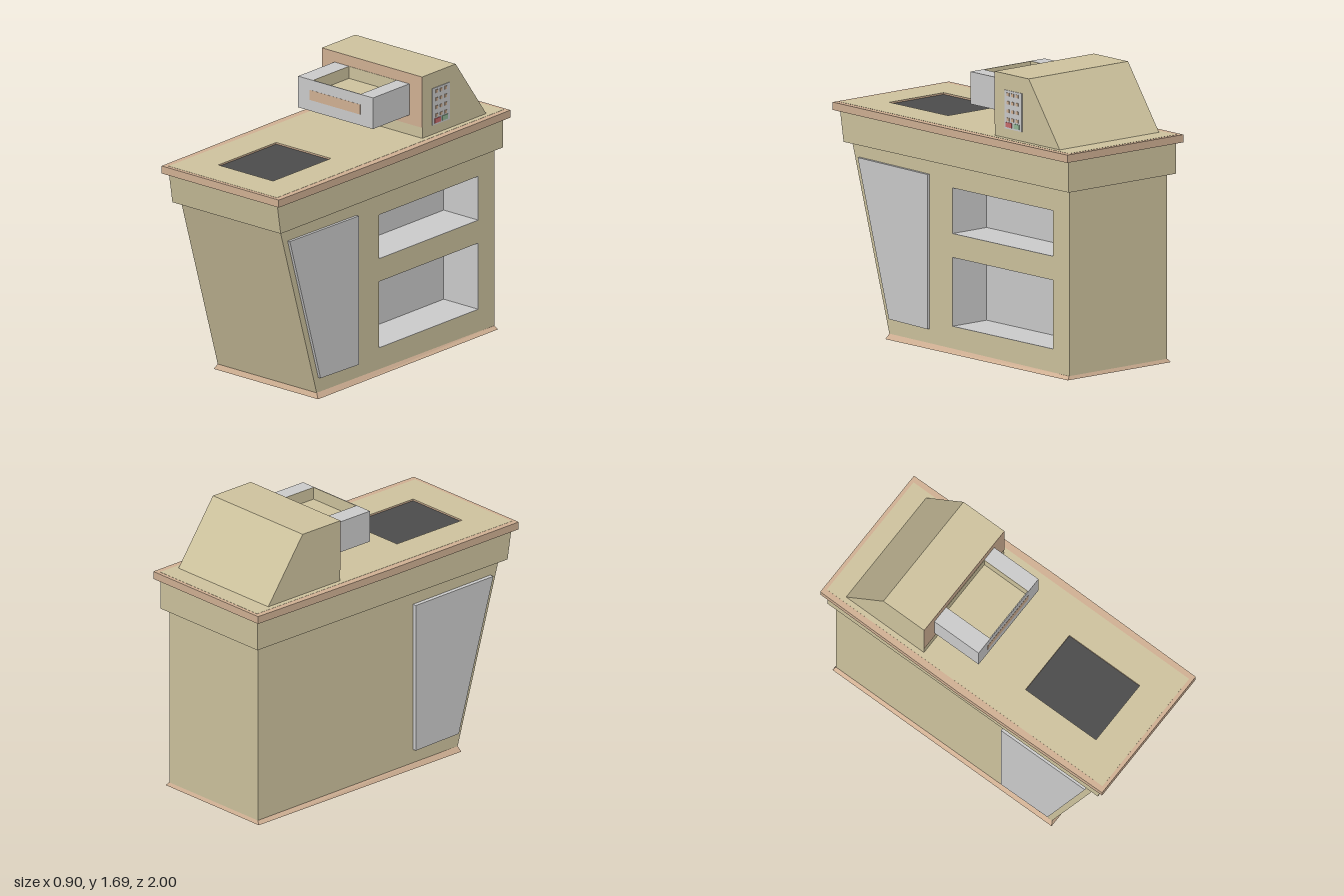
import * as THREE from 'three';

const mat = (color) => new THREE.MeshStandardMaterial({ color, flatShading: true });
const TAN = mat(0xcec39e), TRIM = mat(0xd1b194), GREY = mat(0xcccccc), DARK = mat(0x4c4c4c);
const RED = mat(0xc86a6a), GREEN = mat(0x93b898);

export function createModel() {
  const model = new THREE.Group();

  const add = (name, geometry, material, parent = model) => {
    const mesh = new THREE.Mesh(geometry, material);
    mesh.name = name;
    parent.add(mesh);
  };

  // Box given by its minimum and maximum on each axis
  const box = (name, [x0, x1], [y0, y1], [z0, z1], material, parent = model) =>
    add(name, new THREE.BoxGeometry(x1 - x0, y1 - y0, z1 - z0)
      .translate((x0 + x1) / 2, (y0 + y1) / 2, (z0 + z1) / 2), material, parent);

  // Outlines run counter-clockwise and holes clockwise, so all walls face outwards
  const outline = (points, clockwise) => {
    const path = points.map(([a, b]) => new THREE.Vector2(-a, b));
    return THREE.ShapeUtils.isClockWise(path) === clockwise ? path : path.reverse();
  };
  const rect = (a0, a1, b0, b1) => [[a0, b0], [a1, b0], [a1, b1], [a0, b1]];
  const extrude = (points, holes, depth) => {
    const shape = new THREE.Shape(outline(points, false));
    holes.forEach((h) => shape.holes.push(new THREE.Path(outline(h, true))));
    return new THREE.ExtrudeGeometry(shape, { depth, bevelEnabled: false });
  };

  // Side profile in (z, y) drawn out from x0 to x1
  const profile = (name, points, [x0, x1], material, holes = [], parent = model) =>
    add(name, extrude(points, holes, x1 - x0).rotateY(Math.PI / 2).translate(x0, 0, 0), material, parent);

  // Plan in (-x, -z) drawn up from y0 to y1
  const slab = (name, points, [y0, y1], material, holes) =>
    add(name, extrude(points, holes, y1 - y0).rotateX(-Math.PI / 2).translate(0, y0, 0), material);

  // Cabinet: solid core, and an outer layer pierced by the two shelf openings
  const cabinet = [[0.594, 0.032], [0.91, 1.09], [-0.94, 1.09], [-0.94, 0.021]];
  const shelves = [[0.155, 0.556], [0.69, 0.957]];
  const inner = 0.11, side = 0.37;
  profile('cabinetCore', cabinet, [-side, inner], TAN);
  profile('cabinetShelfSide', cabinet, [inner, side], TAN,
    shelves.map(([y0, y1]) => rect(-0.803, 0.057, y0, y1)));

  // Grey lining of each shelf opening
  const t = 0.002;
  shelves.forEach(([y0, y1]) => {
    const shelf = new THREE.Group();
    shelf.name = 'shelf';
    model.add(shelf);
    profile('shelfLining', rect(-0.803, 0.057, y0, y1), [inner, side], GREY,
      [rect(-0.803 + t, 0.057 - t, y0 + t, y1 - t)], shelf);
    box('shelfBack', [inner, inner + t], [y0, y1], [-0.803, 0.057], GREY, shelf);
  });

  // Tapered panel on both sides
  const panel = [[0.25, 0.112], [0.58, 0.12], [0.845, 1.012], [0.25, 1.005]];
  profile('leftSidePanel', panel, [side, 0.387], GREY);
  profile('rightSidePanel', panel, [-0.395, -side], GREY);

  // Flared skirting: a box whose lower corners are pushed outwards
  const skirt = new THREE.BoxGeometry(2 * side, 1, 1);
  const p = skirt.attributes.position;
  for (let i = 0; i < p.count; i++) {
    const front = p.getZ(i) > 0;
    if (p.getY(i) < 0) p.setXYZ(i, Math.sign(p.getX(i)) * 0.39, 0.001, front ? 0.605 : -0.95);
    else p.setXYZ(i, p.getX(i), front ? 0.032 : 0.021, front ? 0.594 : -0.94);
  }
  skirt.computeVertexNormals();
  add('skirting', skirt, TRIM);
  box('underside', [-0.386, 0.386], [0, 0.002], [-0.947, 0.602], TAN);

  // Upper band, and a slightly bowed worktop with a sunken plate
  profile('upperBand', [[0.945, 1.09], [0.975, 1.27], [-0.975, 1.27], [-0.975, 1.09]], [-0.405, 0.405], TAN);
  const opening = [rect(-0.205, 0.205, -0.78, -0.28)];
  const worktop = [[-0.438, -1], [0.438, -1], [0.448, 0], [0.438, 1], [-0.438, 1], [-0.448, 0]];
  slab('worktopEdge', worktop, [1.27, 1.315], TRIM, opening);
  slab('worktopSurface', rect(-0.405, 0.405, -0.978, 0.978), [1.315, 1.316], TAN, opening);
  box('scannerPlate', [-0.205, 0.205], [1.27, 1.306], [0.28, 0.78], DARK);

  // Cash register
  const register = new THREE.Group();
  register.name = 'cashRegister';
  model.add(register);
  profile('registerBody', [[-0.312, 1.315], [-0.312, 1.685], [-0.6, 1.685], [-0.865, 1.315]],
    [-0.375, 0.375], TAN, [], register);
  box('registerFront', [-0.375, 0.375], [1.38, 1.685], [-0.312, -0.31], TRIM, register);

  // Open drawer with a shallow tan tray between two grey blocks
  const drawer = new THREE.Group();
  drawer.name = 'drawer';
  register.add(drawer);
  const depth = [-0.31, 0], wall = [1.54, 1.622];
  box('drawerBottom', [-0.28, 0.28], [1.435, 1.54], depth, GREY, drawer);
  box('drawerTray', [-0.17, 0.185], [1.54, 1.55], depth, TAN, drawer);
  box('drawerRightBlock', [-0.28, -0.172], wall, depth, GREY, drawer);
  box('drawerLeftBlock', [0.187, 0.28], wall, depth, GREY, drawer);
  box('trayRightWall', [-0.172, -0.17], wall, depth, TAN, drawer);
  box('trayLeftWall', [0.185, 0.187], wall, depth, TAN, drawer);
  box('trayFrontWall', [-0.17, 0.185], wall, [-0.002, 0], TAN, drawer);
  box('trayBackWall', [-0.17, 0.185], wall, [-0.31, -0.308], TAN, drawer);
  box('drawerFront', [-0.28, 0.28], [1.435, 1.622], [0, 0.004], GREY, drawer);
  box('drawerStrip', [-0.195, 0.185], [1.5, 1.56], [0.004, 0.005], TRIM, drawer);

  // Keypad on the left side of the register
  const keypad = new THREE.Group();
  keypad.name = 'keypad';
  register.add(keypad);
  box('keypadPlate', [0.375, 0.379], [1.37, 1.592], [-0.545, -0.397], GREY, keypad);
  for (let row = 0; row < 4; row++) {
    for (let col = 0; col < 3; col++) {
      const y = 1.57 - row * 0.048, z = -0.43 - col * 0.039;
      box('key', [0.379, 0.383], [y - 0.009, y + 0.009], [z - 0.01, z + 0.01], TRIM, keypad);
    }
  }
  box('redKey', [0.379, 0.383], [1.38, 1.408], [-0.463, -0.412], RED, keypad);
  box('greenKey', [0.379, 0.383], [1.38, 1.408], [-0.525, -0.478], GREEN, keypad);

  return model;
}
